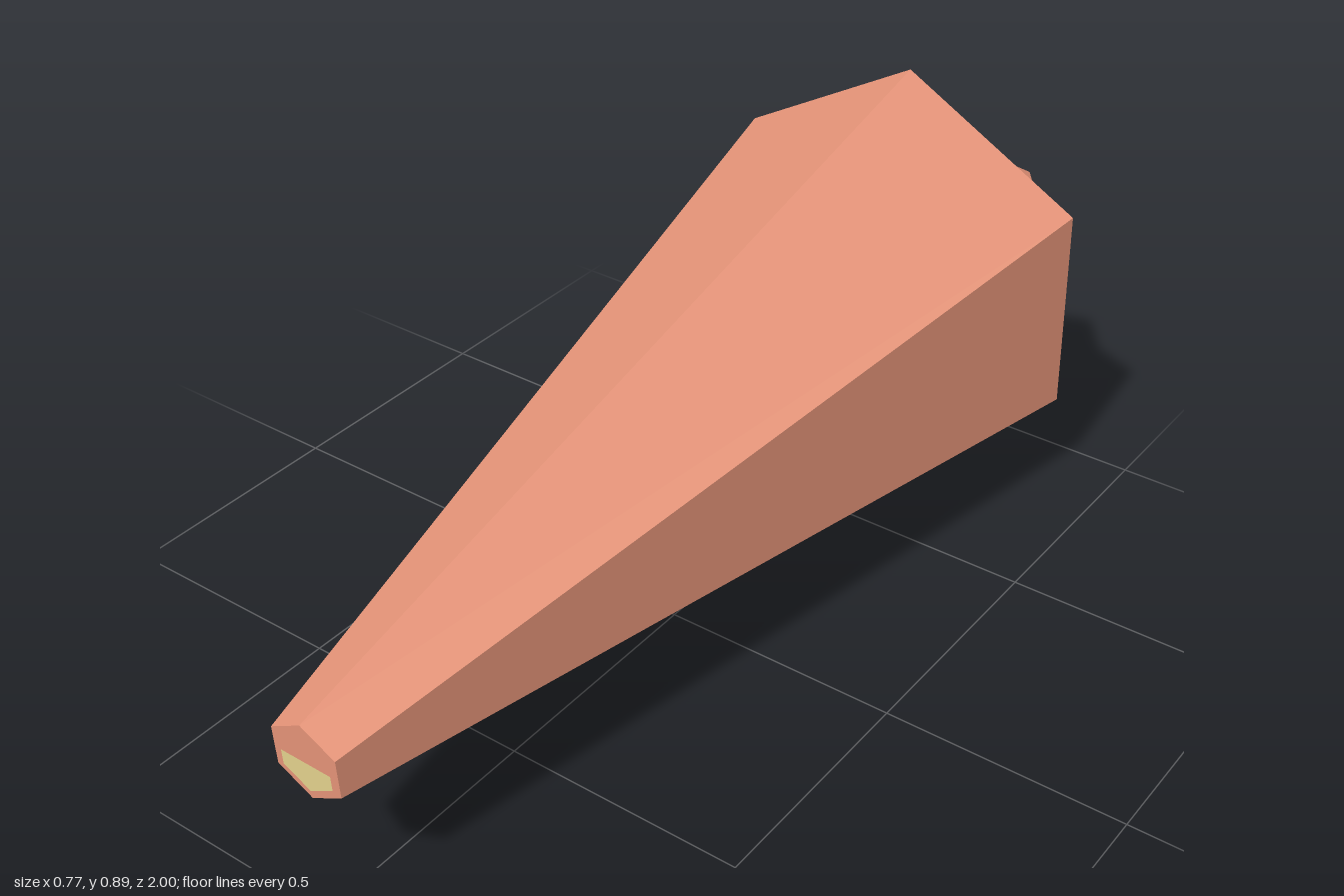
import * as THREE from 'three';

export function createModel() {
  const model = new THREE.Group();
  model.name = 'taperedCreature';

  const salmon = new THREE.MeshStandardMaterial({ color: 0xe9967a, flatShading: true });
  salmon.name = 'salmon skin';
  const khaki = new THREE.MeshStandardMaterial({ color: 0xe6d48f });
  khaki.name = 'pale khaki';

  const add = (parent, geometry, material, name) => {
    const mesh = new THREE.Mesh(geometry, material);
    mesh.name = name;
    parent.add(mesh);
    return mesh;
  };

  // Snout: six-sided taper running front to back, tipped slightly downwards
  const length = 1.834;
  const snout = new THREE.Group();
  snout.name = 'snout';
  snout.position.set(0, 0.3985, 0.082);
  snout.rotation.x = 0.057;
  model.add(snout);
  add(snout, new THREE.CylinderGeometry(0.082, 0.447, length, 6).rotateX(Math.PI / 2), salmon, 'body');

  // Mouth: lower half of a small hexagon, a thin face on the front end
  const r = 0.0635, w = r * Math.cos(Math.PI / 6);
  const mouthShape = new THREE.Shape();
  mouthShape.moveTo(-w, 0).lineTo(-w, -r / 2).lineTo(0, -r).lineTo(w, -r / 2).lineTo(w, 0).closePath();
  add(snout, new THREE.ShapeGeometry(mouthShape), khaki, 'mouth').position.z = length / 2 + 0.002;

  // Eyes: icosahedra with a corner pointing up, one sunk deeper into the back
  const eyeGeometry = new THREE.IcosahedronGeometry(0.118, 0)
    .rotateZ(-Math.atan(2 / (1 + Math.sqrt(5))));
  add(model, eyeGeometry, salmon, 'leftEye').position.set(0.162, 0.5925, -0.9);
  add(model, eyeGeometry, salmon, 'rightEye').position.set(-0.162, 0.55, -0.795);

  return model;
}
